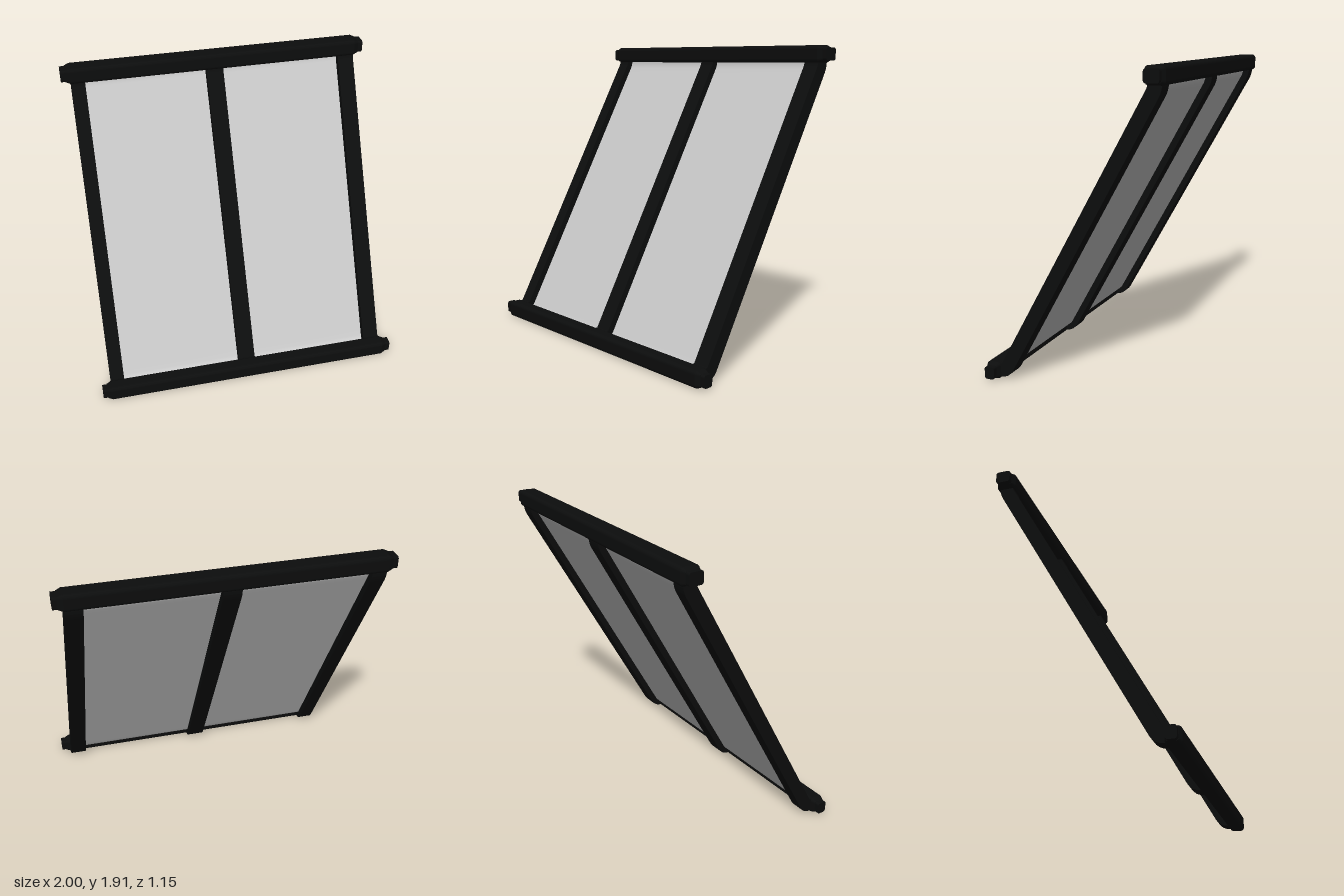
import * as THREE from 'three';

const frameMat = new THREE.MeshStandardMaterial({ color: 0x0c0d0d });
frameMat.name = 'black frame';
const panelMat = new THREE.MeshStandardMaterial({ color: 0xc8c8c8, side: THREE.DoubleSide });
panelMat.name = 'pale grey panel';

// Side profile as (z, y): flat foot, long slope, short upright top, with softened folds
function profile() {
  const foot = new THREE.Vector2(0.45, 0.058), head = new THREE.Vector2(-0.512, 1.79);
  const slope = head.clone().sub(foot).normalize();
  const along = (p, d) => p.clone().addScaledVector(slope, d);
  const fold = (a, b, c) => new THREE.QuadraticBezierCurve(a, b, c).getPoints(4);
  return [
    new THREE.Vector2(0.53, 0.058),
    ...fold(new THREE.Vector2(0.48, 0.058), foot, along(foot, 0.03)),
    along(foot, 0.07),
    along(head, -0.07),
    ...fold(along(head, -0.03), head, new THREE.Vector2(-0.512, 1.82)),
    new THREE.Vector2(-0.512, 1.86),
  ];
}

// Turns a shape drawn in (-z, y) into a solid running along x
function alongX(shape, x0, x1, options = {}) {
  const bevel = options.bevelEnabled ? options.bevelThickness : 0;
  const g = new THREE.ExtrudeGeometry(shape, {
    depth: x1 - x0 - 2 * bevel, bevelEnabled: false, curveSegments: 3, ...options,
  });
  return g.rotateY(Math.PI / 2).translate(x0 + bevel, 0, 0);
}

// Folded post of constant thickness
function postGeometry(path, x0, x1, half) {
  const front = [], back = [];
  path.forEach((p, i) => {
    const a = path[Math.max(i - 1, 0)], b = path[Math.min(i + 1, path.length - 1)];
    const t = b.clone().sub(a).normalize();
    front.push(new THREE.Vector2(-(p.x + t.y * half), p.y - t.x * half));
    back.push(new THREE.Vector2(-(p.x - t.y * half), p.y + t.x * half));
  });
  return alongX(new THREE.Shape([...front, ...back.reverse()]), x0, x1);
}

// Rectangle with rounded corners, centred on (z, y)
function roundedRect(z, y, w, h, r) {
  const s = new THREE.Shape(), cx = -z, a = w / 2 - r, b = h / 2 - r;
  s.absarc(cx + a, y + b, r, 0, Math.PI / 2);
  s.absarc(cx - a, y + b, r, Math.PI / 2, Math.PI);
  s.absarc(cx - a, y - b, r, Math.PI, Math.PI * 1.5);
  s.absarc(cx + a, y - b, r, Math.PI * 1.5, Math.PI * 2);
  return s;
}

// Thin sheet following the folded profile
function sheetGeometry(path, x0, x1) {
  const g = new THREE.PlaneGeometry(1, 1, 1, path.length - 1);
  const pos = g.attributes.position;
  path.forEach((p, i) => {
    const q = path[path.length - 1 - i];
    pos.setXYZ(i * 2, x0, q.y, q.x);
    pos.setXYZ(i * 2 + 1, x1, q.y, q.x);
  });
  g.computeVertexNormals();
  return g;
}

export function createModel() {
  const model = new THREE.Group();
  model.name = 'slantedScreen';
  const add = (name, geometry, material) => {
    const mesh = new THREE.Mesh(geometry, material);
    mesh.name = name;
    model.add(mesh);
  };
  const path = profile();

  // Three folded posts
  const posts = [['rightPost', -0.94, -0.85], ['middlePost', -0.064, 0.048], ['leftPost', 0.834, 0.94]];
  for (const [name, x0, x1] of posts) add(name, postGeometry(path, x0, x1, 0.042), frameMat);

  // Two sheets between the posts
  add('rightPanel', sheetGeometry(path, -0.86, -0.055), panelMat);
  add('leftPanel', sheetGeometry(path, 0.04, 0.845), panelMat);

  // Top and bottom rails with bevelled ends, each with a slimmer core poking out
  const rails = [['top', -0.514, 1.862, 0.122, 0.106], ['bottom', 0.528, 0.053, 0.094, 0.106]];
  for (const [name, z, y, w, h] of rails) {
    const inset = 0.014;
    add(name + 'Rail', alongX(roundedRect(z, y, w - 2 * inset, h - 2 * inset, 0.01), -0.97, 0.97, {
      bevelEnabled: true, bevelThickness: 0.03, bevelSize: inset, bevelSegments: 1,
    }), frameMat);
    add(name + 'RailCore', alongX(roundedRect(z, y, w - 0.03, 0.078, 0.015), -1, 1), frameMat);
  }
  return model;
}
